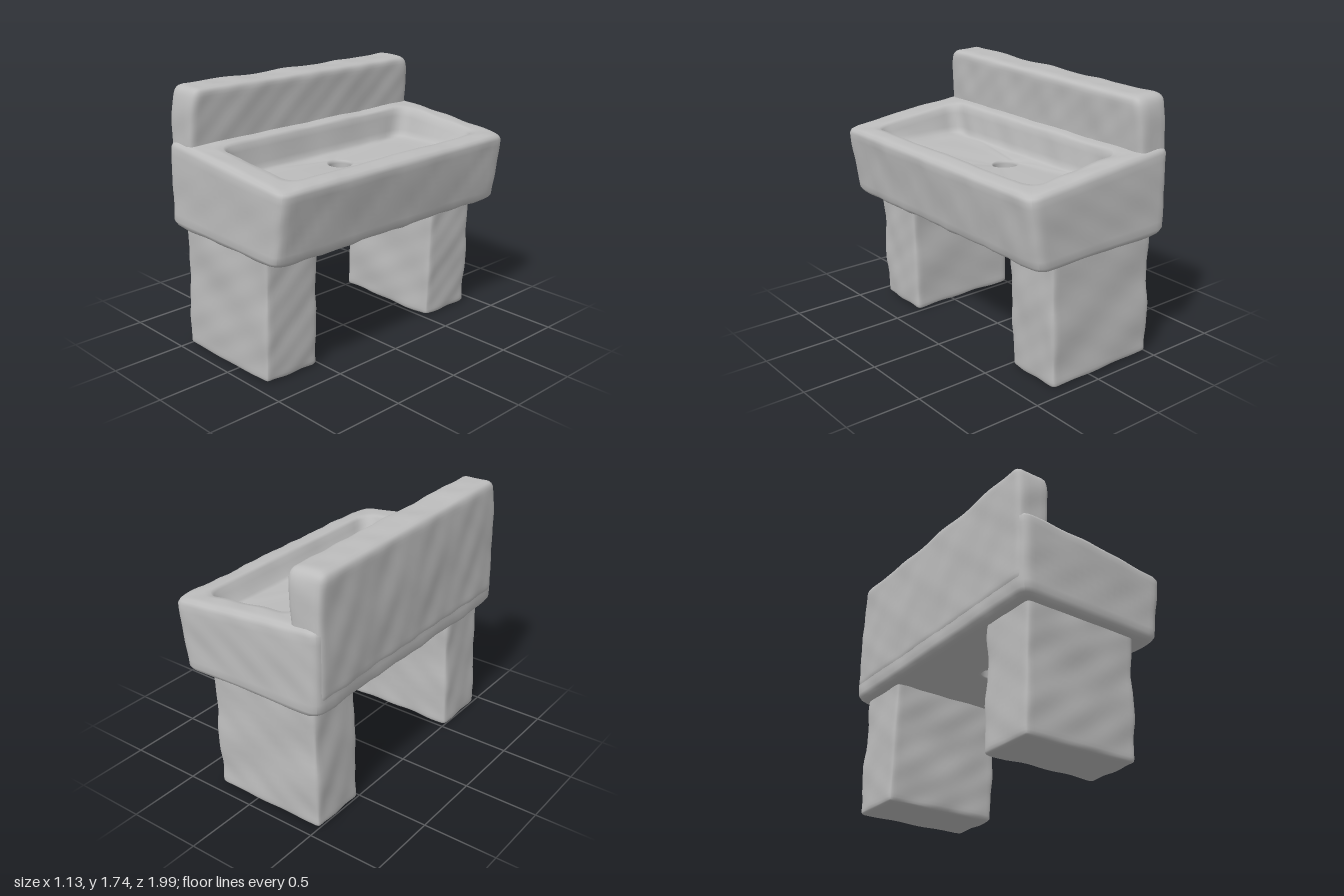
import * as THREE from 'three';
import { mergeVertices } from 'three/addons/utils/BufferGeometryUtils.js';

// Smooth, deterministic lumps for hand-hewn stone
function lump(x, y, z) {
  return 0.4 * Math.sin(7 * x + 4 * y + 3 * z) * Math.sin(5 * y - 6 * z + 1)
    + 0.35 * Math.sin(13 * z + 5 * x) * Math.sin(14 * y + 4 * x + 2)
    + 0.25 * Math.sin(27 * z + 9 * y) * Math.sin(23 * y - 19 * x + 0.5);
}

// Push vertices along their normals by the lump field
function roughen(geo, amount) {
  geo.computeVertexNormals();
  const p = geo.attributes.position, n = geo.attributes.normal;
  for (let i = 0; i < p.count; i++) {
    const x = p.getX(i), y = p.getY(i), z = p.getZ(i);
    const d = amount * lump(x, y, z);
    p.setXYZ(i, x + n.getX(i) * d, Math.max(0, y + n.getY(i) * d), z + n.getZ(i) * d);
  }
  geo.computeVertexNormals();
  return geo;
}

// Block with rounded edges; segments crowd toward the edges
function stoneBlock(min, max, radius, segs, amount, warp) {
  let geo = new THREE.BoxGeometry(2, 2, 2, ...segs);
  geo.deleteAttribute('normal');
  geo.deleteAttribute('uv');
  geo = mergeVertices(geo);
  const half = max.clone().sub(min).multiplyScalar(0.5);
  const centre = max.clone().add(min).multiplyScalar(0.5);
  const inner = half.clone().subScalar(radius);
  const p = geo.attributes.position;
  const v = new THREE.Vector3(), c = new THREE.Vector3();
  for (let i = 0; i < p.count; i++) {
    v.fromBufferAttribute(p, i);
    v.set(...v.toArray().map((t) => 0.35 * t + 0.65 * Math.sin(t * Math.PI / 2))).multiply(half);
    c.copy(v).clamp(inner.clone().negate(), inner);
    v.sub(c);
    if (v.lengthSq() > 0) v.setLength(radius);
    v.add(c).add(centre);
    if (warp) warp(v);
    p.setXYZ(i, v.x, v.y, v.z);
  }
  return roughen(geo, amount);
}

// Closed skin through rounded-rectangle rings: [x0, x1, z0, z1, corner radius, height(x)]
function ringSkin(rings, perSide) {
  const pos = [], index = [], count = perSide * 4;
  for (const [x0, x1, z0, z1, r, height] of rings) {
    const hx = (x1 - x0) / 2, hz = (z1 - z0) / 2, ix = hx - r, iz = hz - r;
    for (let j = 0; j < count; j++) {
      let u = 1, v = Math.sin(((j % perSide) / perSide - 0.5) * Math.PI);
      for (let k = 0; k < Math.floor(j / perSide); k++) [u, v] = [-v, u];
      const cx = THREE.MathUtils.clamp(u * hx, -ix, ix), cz = THREE.MathUtils.clamp(v * hz, -iz, iz);
      const dx = u * hx - cx, dz = v * hz - cz, len = Math.hypot(dx, dz) || 1;
      const x = (x0 + x1) / 2 + cx + dx / len * r;
      pos.push(x, height(x), (z0 + z1) / 2 + cz + dz / len * r);
    }
  }
  for (let i = 0; i < rings.length; i++) {
    const next = (i + 1) % rings.length;
    for (let j = 0; j < count; j++) {
      const k = (j + 1) % count;
      const a = i * count + j, b = next * count + j, c = i * count + k, d = next * count + k;
      index.push(a, c, b, b, c, d);
    }
  }
  const geo = new THREE.BufferGeometry();
  geo.setAttribute('position', new THREE.Float32BufferAttribute(pos, 3));
  geo.setIndex(index);
  return geo;
}

function makeBasin() {
  const top = (x) => 1.352 - 0.1 * x;
  const base = (x) => 0.822 - 0.015 * x;
  const flat = (y) => () => y;
  const below = (d) => (x) => top(x) - d;
  const drain = (r, y) => [-0.05 - r, -0.05 + r, -0.02 - r, -0.02 + r, r, y];
  // Outer wall ring, inset by d, at fraction t between base and top
  const wall = (d, t) => [-0.56 + d, 0.485 + 0.075 * t - d, -0.99 + d, 0.99 - d, 0.07,
    (x) => THREE.MathUtils.lerp(base(x), top(x), t)];
  const rings = [
    // drain bore
    drain(0.077, base), drain(0.075, flat(0.84)), drain(0.075, flat(1.0)), drain(0.075, flat(1.13)),
    drain(0.078, flat(1.145)), drain(0.09, flat(1.152)),
    // bowl floor
    [-0.17, 0.17, -0.35, 0.33, 0.12, flat(1.16)],
    [-0.2, 0.28, -0.6, 0.57, 0.1, flat(1.165)],
    [-0.215, 0.34, -0.73, 0.7, 0.08, flat(1.17)],
    // bowl sides and lip
    [-0.228, 0.36, -0.76, 0.74, 0.08, flat(1.185)],
    [-0.24, 0.38, -0.785, 0.765, 0.09, flat(1.22)],
    [-0.25, 0.4, -0.81, 0.785, 0.1, below(0.06)],
    [-0.258, 0.415, -0.832, 0.8, 0.1, below(0.02)],
    [-0.272, 0.432, -0.85, 0.818, 0.11, below(0.003)],
    [-0.31, 0.46, -0.88, 0.86, 0.11, top],
  ];
  // rim, outer wall and underside
  rings.push(wall(0.06, 1), wall(0.03, 0.992), wall(0.01, 0.965), wall(0, 0.92));
  for (let i = 1; i < 10; i++) rings.push(wall(0, 0.92 - i * 0.084));
  rings.push(wall(0, 0.08), wall(0.012, 0.035), wall(0.03, 0.008), wall(0.06, 0));
  rings.push([-0.42, 0.32, -0.7, 0.7, 0.1, base], [-0.25, 0.16, -0.3, 0.28, 0.12, base], drain(0.1, base));
  return roughen(ringSkin(rings, 32), 0.012);
}

export function createModel() {
  const model = new THREE.Group();
  const stone = new THREE.MeshStandardMaterial({ color: 0xbcbcbc });
  stone.name = 'grey stone';
  const add = (name, geo) => {
    const mesh = new THREE.Mesh(geo, stone);
    mesh.name = name;
    model.add(mesh);
  };
  const V = (x, y, z) => new THREE.Vector3(x, y, z);

  add('basin', makeBasin());

  // Upright slab along the back edge, narrowing slightly toward the top
  add('backsplash', stoneBlock(V(-0.565, 0.92, -0.965), V(-0.335, 1.73, 0.965), 0.05, [8, 24, 48], 0.012, (v) => {
    const t = Math.max(0, (v.y - 1.35) / 0.38);
    v.z *= 1 - 0.045 * t * t * t;
    if (v.x > -0.45) v.x += 0.022 * t;
    else v.x += 0.01 * t;
    v.y += 0.015 * v.z * t;
  }));

  // Two block legs, one under each end
  const lean = (v) => { v.x += 0.03 * (v.y - 0.4); };
  add('leftEndLeg', stoneBlock(V(-0.495, 0, 0.52), V(0.315, 0.9, 0.925), 0.03, [24, 24, 14], 0.014, lean));
  add('rightEndLeg', stoneBlock(V(-0.495, 0, -0.925), V(0.315, 0.9, -0.52), 0.03, [24, 24, 14], 0.014, lean));

  return model;
}
